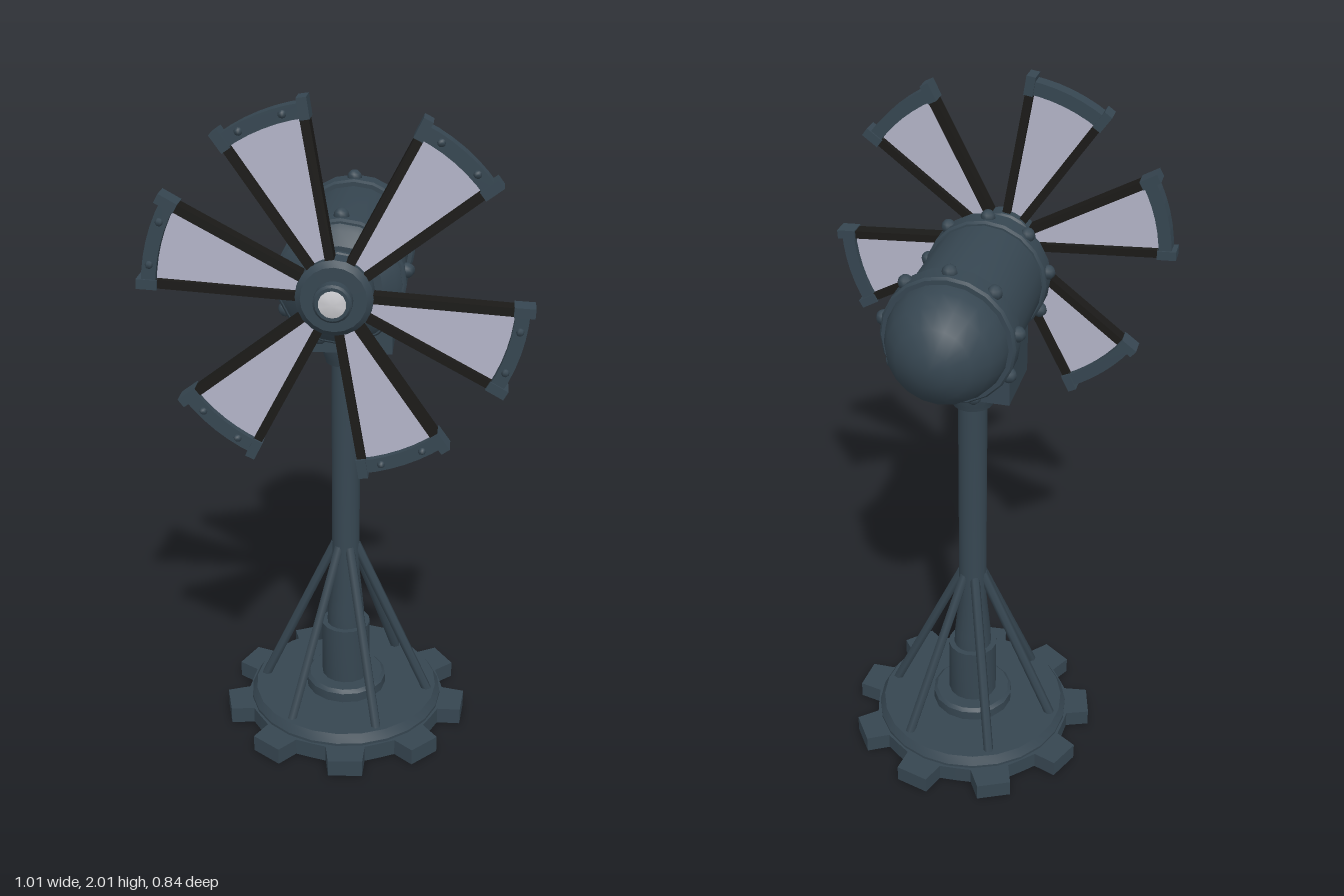
import * as THREE from 'three';
import { toCreasedNormals } from 'three/addons/utils/BufferGeometryUtils.js';

const rad = THREE.MathUtils.degToRad;

function material(name, color) {
  const m = new THREE.MeshStandardMaterial({ color });
  m.name = name;
  return m;
}

function add(parent, name, geometry, mat, x = 0, y = 0, z = 0) {
  const mesh = new THREE.Mesh(geometry, mat);
  mesh.name = name;
  mesh.position.set(x, y, z);
  parent.add(mesh);
  return mesh;
}

// Lathe from [radius, height] pairs, with crisp rims
function turned(profile, sides = 18) {
  const pts = profile.map(([r, h]) => new THREE.Vector2(r, h));
  return toCreasedNormals(new THREE.LatheGeometry(pts, sides), 0.5);
}
const turnedZ = (profile, sides) => turned(profile, sides).rotateX(Math.PI / 2);

// Flat outline pushed out, centred on its depth
function plate(points, depth) {
  const shape = new THREE.Shape(points.map(([x, y]) => new THREE.Vector2(x, y)));
  return new THREE.ExtrudeGeometry(shape, { depth, bevelEnabled: false }).translate(0, 0, -depth / 2);
}

// Round bar between two points
function bar(a, b, radius) {
  const dir = b.clone().sub(a);
  const g = new THREE.CylinderGeometry(radius, radius, dir.length(), 6);
  g.applyQuaternion(new THREE.Quaternion().setFromUnitVectors(new THREE.Vector3(0, 1, 0), dir.normalize()));
  const mid = a.clone().add(b).multiplyScalar(0.5);
  return g.translate(mid.x, mid.y, mid.z);
}

const polar = (r, deg) => [r * Math.cos(rad(deg)), r * Math.sin(rad(deg))];

export function createModel() {
  const slate = material('slate metal', 0x364651);
  const black = material('black frame', 0x1b1a18);
  const pale = material('pale panel', 0xb3b4c8);
  const silver = material('silver tip', 0xcacace);
  const model = new THREE.Group();
  model.name = 'windTurbine';

  // Stand: toothed foot, plate, column and pole
  const stand = new THREE.Group();
  stand.name = 'stand';
  stand.position.set(-0.033, 0, -0.035);
  model.add(stand);

  const outline = [];
  for (let i = 0; i < 9; i++) {
    const a = -5 + i * 40;
    outline.push(polar(0.305, a - 20), polar(0.308, a - 11), polar(0.376, a - 7.8),
      polar(0.376, a + 7.8), polar(0.308, a + 11));
  }
  add(stand, 'toothedFoot', plate(outline, 0.052).rotateX(-Math.PI / 2), slate, 0, 0.026, 0);
  add(stand, 'footPlate', turned([[0, 0.04], [0.3, 0.04], [0.3, 0.06], [0.285, 0.085], [0, 0.085]], 24), slate);
  add(stand, 'column', turned([[0.125, 0.08], [0.125, 0.115], [0.115, 0.125], [0.075, 0.125], [0.075, 0.31],
    [0.058, 0.31], [0.056, 0.36], [0.042, 0.5], [0.042, 1.19]], 16), slate);
  add(stand, 'collar', turned([[0, 1.185], [0.058, 1.185], [0.062, 1.2], [0.075, 1.235], [0.075, 1.26], [0, 1.26]], 16), slate);

  // Slanted braces round the pole
  for (let i = 0; i < 6; i++) {
    const [x, s] = polar(1, -4 + i * 60);
    const foot = new THREE.Vector3(x * 0.262, 0.075, -s * 0.262);
    const top = new THREE.Vector3(x * 0.032, 0.585, -s * 0.032);
    add(stand, 'brace', bar(foot, top, 0.015), slate);
  }

  // Saddle block under the housing
  const saddle = plate([[-0.105, 0], [0.105, 0], [0.105, 0.135], [0.085, 0.165], [-0.085, 0.165], [-0.105, 0.135]], 0.27);
  add(stand, 'saddle', saddle.rotateY(Math.PI / 2), slate, 0.005, 1.25, 0.003);

  // Housing: barrel with a domed back and a stepped nose shaft
  const housing = new THREE.Group();
  housing.name = 'housing';
  housing.position.set(-0.026, 1.49, 0);
  model.add(housing);
  add(housing, 'barrel', turnedZ([[0, -0.424], [0.05, -0.415], [0.1, -0.388], [0.138, -0.345], [0.157, -0.3],
    [0.164, -0.265], [0.164, 0.19], [0.15, 0.205], [0.115, 0.228], [0, 0.228]], 20), slate);
  add(housing, 'shaft', turnedZ([[0.088, 0.215], [0.088, 0.24], [0.07, 0.25], [0.07, 0.305]], 16), slate, 0, 0.015, 0);

  // Banded rings with nine rivets each
  for (const [z, r] of [[0.15, 0.175], [-0.23, 0.182]]) {
    add(housing, 'band', turnedZ([[0.155, z - 0.036], [r - 0.006, z - 0.036], [r, z - 0.028],
      [r, z + 0.028], [r - 0.006, z + 0.036], [0.155, z + 0.036]], 20), slate);
    for (let i = 0; i < 9; i++) {
      const [x, y] = polar(r, 90 + i * 40);
      add(housing, 'rivet', new THREE.SphereGeometry(0.021, 8, 6), slate, x, y, z);
    }
  }

  // Rotor: hub and six framed blades
  const rotor = new THREE.Group();
  rotor.name = 'rotor';
  rotor.position.set(-0.024, 1.51, 0.341);
  model.add(rotor);
  add(rotor, 'hub', turnedZ([[0, -0.045], [0.085, -0.045], [0.1, -0.03], [0.1, 0.022], [0.085, 0.036],
    [0.05, 0.036], [0.05, 0.066], [0.044, 0.072], [0, 0.072]], 20), slate);
  add(rotor, 'hubTip', turnedZ([[0.037, 0.068], [0.035, 0.074], [0.02, 0.078], [0, 0.079]], 14), silver);

  // Ring sector for the blade tips
  const arc = [];
  for (let i = 0; i <= 6; i++) arc.push(polar(0.492, -14 + i * 28 / 6));
  for (let i = 6; i >= 0; i--) arc.push(polar(0.455, -14 + i * 28 / 6));
  const tipGeometry = plate(arc, 0.046);
  const panelGeometry = plate([[0.085, -0.024], [0.465, -0.108], [0.475, 0], [0.465, 0.108], [0.085, 0.024]], 0.009);

  for (const angle of [-16, -68, -130, 164, 112, 50]) {
    const blade = new THREE.Group();
    blade.name = 'blade';
    blade.rotation.z = rad(angle);
    rotor.add(blade);
    add(blade, 'panel', panelGeometry, pale);
    add(blade, 'tip', tipGeometry, slate);
    for (const s of [-1, 1]) {
      const rail = add(blade, 'rail', new THREE.BoxGeometry(0.395, 0.023, 0.042), black, 0.275, s * 0.066, 0);
      rail.rotation.z = s * Math.atan2(0.084, 0.38);
      const [x, y] = polar(0.478, s * 13.3);
      const clamp = add(blade, 'clamp', new THREE.BoxGeometry(0.054, 0.026, 0.056), slate, x, y, 0);
      clamp.rotation.z = rad(s * 13.3);
      const [u, v] = polar(0.474, s * 7);
      add(blade, 'tipRivet', new THREE.SphereGeometry(0.011, 6, 5), slate, u, v, 0.022);
    }
  }
  return model;
}
